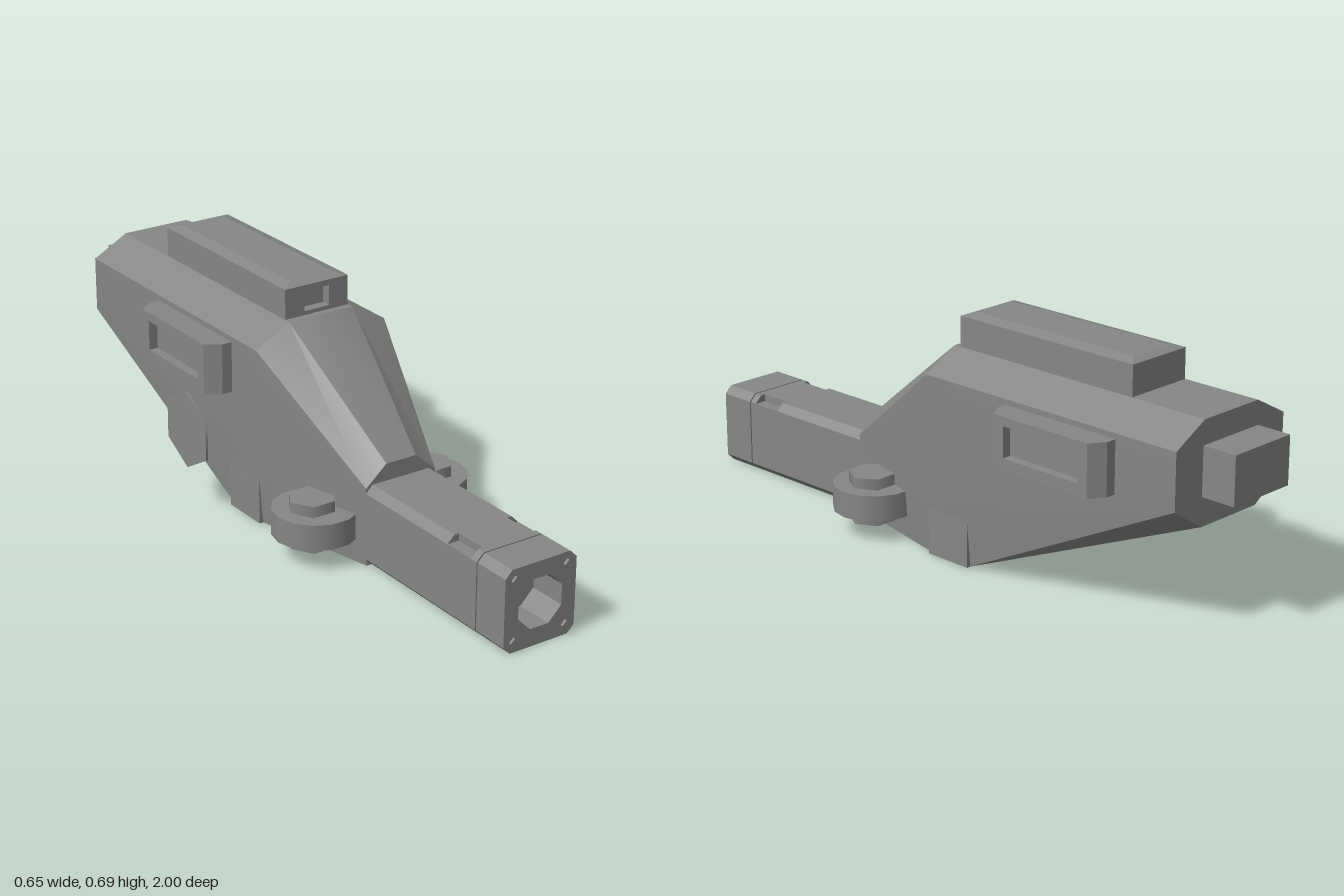
import * as THREE from 'three';
import { toCreasedNormals } from 'three/addons/utils/BufferGeometryUtils.js';

const darkGrey = new THREE.MeshStandardMaterial({ color: 0x868686 });

function add(parent, name, geometry, x = 0, y = 0, z = 0) {
  const mesh = new THREE.Mesh(geometry, darkGrey);
  mesh.name = name;
  mesh.position.set(x, y, z);
  parent.add(mesh);
}

const toPoints = pts => pts.map(([x, y]) => new THREE.Vector2(x, y));

// Outline of a rectangle with its corners cut off
function cutRect(hw, y0, y1, c) {
  return [[hw - c, y0], [hw, y0 + c], [hw, y1 - c], [hw - c, y1],
    [c - hw, y1], [-hw, y1 - c], [-hw, y0 + c], [c - hw, y0]];
}

function extrude(pts, depth, hole) {
  const shape = new THREE.Shape(toPoints(pts));
  if (hole) shape.holes.push(new THREE.Path(toPoints(hole)));
  return new THREE.ExtrudeGeometry(shape, { depth, bevelEnabled: false });
}

// Extrude a plan outline given as [x, z] upward from y0 to y1
function extrudeUp(pts, y0, y1) {
  return extrude(pts.map(([x, z]) => [x, -z]), y1 - y0).rotateX(-Math.PI / 2).translate(0, y0, 0);
}

// Upright prism with smoothly shaded sides and a vertex on the x axis
function roundPrism(radius, height, sides) {
  return new THREE.CylinderGeometry(radius, radius, height, sides, 1, false, Math.PI / 2);
}

// Mirrored loft through cross-sections ordered from front to rear
function hullGeometry() {
  const sections = [
    { z: 0.385, xt: 0.05, yt: 0.293, xs: 0.117, yu: 0.235, yl: 0.1, xb: 0.113, yb: 0 },
    { z: 0, xt: 0.108, yt: 0.593, xs: 0.218, yu: 0.533, yl: 0.2, xb: 0.2, yb: 0 },
    { z: -0.15, xt: 0.108, yt: 0.593, xs: 0.218, yu: 0.533, yl: 0.2, xb: 0.2, yb: 0 },
    { z: -0.895, xt: 0.108, yt: 0.593, xs: 0.218, yu: 0.533, yl: 0.37, xb: 0.11, yb: 0.3 },
  ];
  const pos = [];
  for (const s of [1, -1]) {
    const tri = (a, b, c) => pos.push(...a, ...(s > 0 ? b : c), ...(s > 0 ? c : b));
    const loops = sections.map(q => [[0, q.yt], [q.xt, q.yt], [q.xs, q.yu], [q.xs, q.yl],
      [q.xb, q.yb], [0, q.yb]].map(([x, y]) => [s * x, y, q.z]));
    for (let i = 0; i < 3; i++) {
      const A = loops[i], B = loops[i + 1];
      for (let k = 0; k < 5; k++) {
        tri(A[k], A[k + 1], B[k]);
        tri(A[k + 1], B[k + 1], B[k]);
      }
    }
    const F = loops[0], R = loops[3];
    for (let k = 1; k < 5; k++) {
      tri(F[0], F[k + 1], F[k]);
      tri(R[0], R[k], R[k + 1]);
    }
  }
  const g = new THREE.BufferGeometry();
  g.setAttribute('position', new THREE.Float32BufferAttribute(pos, 3));
  return toCreasedNormals(g, 0.45);
}

// Side housing with a recessed window in its outer face
function sideHousing(side, z) {
  const housing = new THREE.Group();
  housing.name = side > 0 ? 'leftHousing' : 'rightHousing';
  const front = [[0.2, 0.195], [0.25, 0.195], [0.293, 0.165]];
  const rear = [[0.293, -0.165], [0.25, -0.195], [0.2, -0.195]];
  const recess = [[0.293, 0.133], [0.265, 0.133], [0.265, -0.133], [0.293, -0.133]];
  const turn = pts => pts.map(([x, w]) => [side * x, w]);
  const solid = turn([...front, ...rear]);
  add(housing, 'housingBottom', extrudeUp(solid, 0.365, 0.4));
  add(housing, 'housingWindow', extrudeUp(turn([...front, ...recess, ...rear]), 0.4, 0.49));
  add(housing, 'housingTop', extrudeUp(solid, 0.49, 0.517));
  housing.position.z = z;
  return housing;
}

export function createModel() {
  const model = new THREE.Group();
  const body = new THREE.Group();
  body.name = 'body';
  body.position.x = 0.0115;
  model.add(body);

  add(body, 'hull', hullGeometry());
  add(body, 'rearBlock', new THREE.BoxGeometry(0.222, 0.14, 0.125), 0, 0.453, -0.9375);

  // Barrel: main block, notched part, ring, thin groove
  const barrel = cutRect(0.117, 0, 0.242, 0.022);
  const notch = [[0.095, 0], [0.117, 0.022], [0.117, 0.22], [0.08, 0.22], [0.08, 0.242],
    [-0.08, 0.242], [-0.08, 0.22], [-0.117, 0.22], [-0.117, 0.022], [-0.095, 0]];
  add(body, 'barrel', extrude(barrel, 0.39), 0, 0, 0.36);
  add(body, 'barrelNotches', extrude(notch, 0.1), 0, 0, 0.75);
  add(body, 'barrelRing', extrude(barrel, 0.023), 0, 0, 0.85);
  add(body, 'barrelGroove', extrude(cutRect(0.113, 0.004, 0.238, 0.022), 0.005), 0, 0, 0.873);

  // Muzzle with an eight-sided bore and four corner bolts
  add(body, 'muzzle', extrude(barrel, 0.114, cutRect(0.0715, 0.051, 0.194, 0.0415)), 0, 0, 0.878);
  for (const x of [-0.0855, 0.0855]) {
    for (const y of [0.032, 0.21]) {
      add(body, 'muzzleBolt', extrude([[0.013, 0], [0, 0.013], [-0.013, 0], [0, -0.013]], 0.01), x, y, 0.99);
    }
  }

  // Top housing: framed front window, solid rear, shallow bevelled lid
  const frame = [[-0.106, 0.57], [0.106, 0.57], [0.106, 0.682], [-0.106, 0.682]];
  const window = [[-0.042, 0.605], [0.042, 0.605], [0.042, 0.665], [-0.042, 0.665]];
  add(body, 'topHousingFront', extrude(frame, 0.03, window), 0, 0, -0.052);
  add(body, 'topHousing', extrude(frame, 0.598), 0, 0, -0.65);
  const lid = new THREE.BoxGeometry(0.212, 0.01, 0.628);
  const p = lid.attributes.position;
  for (let i = 0; i < p.count; i++) {
    if (p.getY(i) > 0) p.setXYZ(i, p.getX(i) * 0.67, p.getY(i), p.getZ(i) * 0.91);
  }
  lid.computeVertexNormals();
  add(body, 'topHousingLid', lid, 0, 0.687, -0.336);

  body.add(sideHousing(1, -0.497), sideHousing(-1, -0.322));

  for (const s of [-1, 1]) {
    // Round side lugs with six-sided bolts through them
    add(body, 'sideLug', roundPrism(0.124, 0.077, 14), s * 0.188, 0.1085, 0.245);
    add(body, 'lugBolt', roundPrism(0.07, 0.142, 6), s * 0.2, 0.109, 0.245);
    // Lower side pads
    add(body, 'lowerPad', new THREE.BoxGeometry(0.03, 0.135, 0.15), s * 0.198, 0.0675, -0.075);
  }

  // Thin six-sided plate standing off the right side
  add(body, 'sidePlate', roundPrism(0.118, 0.007, 6).rotateZ(Math.PI / 2), -0.333, 0.257, -0.185);

  return model;
}
